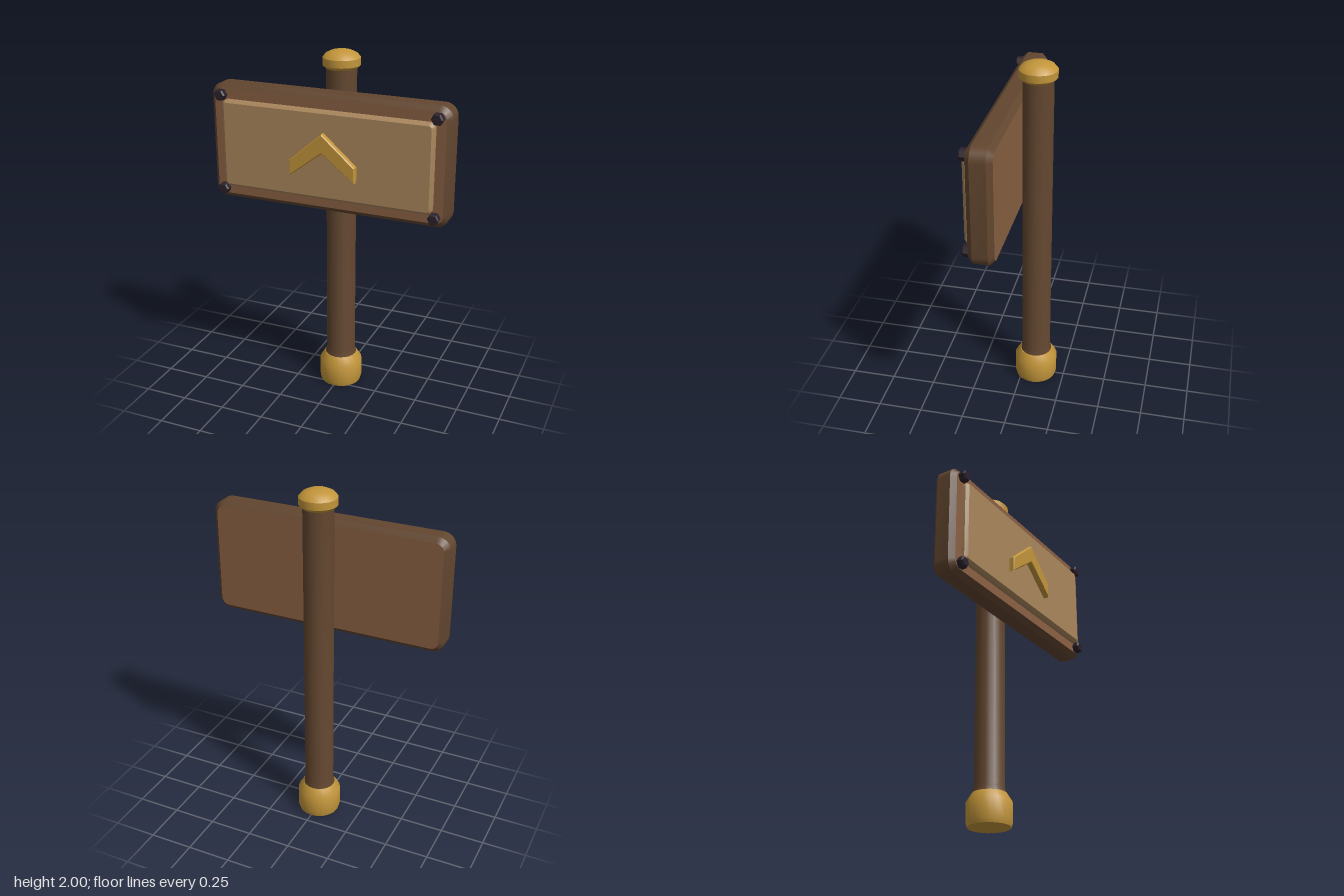
import * as THREE from 'three';
import { toCreasedNormals } from 'three/addons/utils/BufferGeometryUtils.js';

const material = (name, color) => {
  const m = new THREE.MeshStandardMaterial({ color });
  m.name = name;
  return m;
};

// Rectangle with rounded corners, centred on the origin
function roundedRect(w, h, r) {
  const x = w / 2, y = h / 2;
  const s = new THREE.Shape();
  s.absarc(x - r, y - r, r, 0, Math.PI / 2);
  s.absarc(-x + r, y - r, r, Math.PI / 2, Math.PI);
  s.absarc(-x + r, -y + r, r, Math.PI, Math.PI * 1.5);
  s.absarc(x - r, -y + r, r, Math.PI * 1.5, Math.PI * 2);
  s.closePath();
  return s;
}

// Slab with chamfered rims; the bevel lies inside the given outline and depth
function slab(shape, depth, bevel, z, offset = -bevel) {
  const g = new THREE.ExtrudeGeometry(shape, {
    depth: depth - 2 * bevel, bevelThickness: bevel, bevelSize: bevel,
    bevelOffset: offset, bevelSegments: 1, curveSegments: 4,
  });
  g.translate(0, 0, z + bevel);
  return toCreasedNormals(g, 0.5);
}

const turned = (profile) => toCreasedNormals(
  new THREE.LatheGeometry(profile.map(([x, y]) => new THREE.Vector2(x, y)), 20), 0.7);

export function createModel() {
  const darkWood = material('dark wood', 0x62462f);
  const wood = material('board wood', 0x8a6043);
  const paleWood = material('pale wood', 0xaa875c);
  const brass = material('brass', 0xc2953a);
  const iron = material('dark iron', 0x2b212b);

  const model = new THREE.Group();
  model.name = 'signpost';
  const add = (name, geometry, mat, x = 0, y = 0, z = 0) => {
    const mesh = new THREE.Mesh(geometry, mat);
    mesh.name = name;
    mesh.position.set(x, y, z);
    model.add(mesh);
  };

  // Upright post with brass foot and cap, standing behind the board
  const postZ = -0.08;
  add('post', turned([[0.096, 0.16], [0.09, 0.185], [0.083, 0.215], [0.083, 1.93]]), darkWood, 0, 0, postZ);
  add('foot', turned([[0, 0], [0.117, 0], [0.124, 0.025], [0.124, 0.135], [0.094, 0.182], [0, 0.182]]),
    brass, 0, 0, postZ);
  add('cap', turned([[0, 1.9], [0.085, 1.9], [0.103, 1.917], [0.103, 1.957],
    [0.085, 1.978], [0.055, 1.992], [0.028, 1.998], [0, 2]]), brass, 0, 0, postZ);

  // Board: lighter faces, dark rim
  const boardY = 1.48;
  add('board', slab(roundedRect(1.36, 0.65, 0.07), 0.137, 0.027, 0), [wood, darkWood], 0, boardY);
  add('panel', slab(roundedRect(1.2, 0.49, 0.03), 0.05, 0.015, 0.12), paleWood, 0, boardY);

  // Raised chevron
  const chevron = new THREE.Shape([
    [0, 1.61], [-0.187, 1.447], [-0.187, 1.36], [0, 1.502], [0.187, 1.36], [0.187, 1.447],
  ].map(([x, y]) => new THREE.Vector2(x, y)));
  add('chevron', slab(chevron, 0.045, 0.006, 0.157), brass);

  // Hexagonal bolts in the corners
  const bolt = new THREE.LatheGeometry(
    [[0, 0], [0.033, 0], [0.033, 0.038], [0.026, 0.047], [0, 0.047]]
      .map(([x, y]) => new THREE.Vector2(x, y)), 6);
  bolt.rotateY(Math.PI / 6).rotateX(Math.PI / 2);
  const boltGeometry = toCreasedNormals(bolt, 0.3);
  for (const x of [-0.61, 0.61]) {
    for (const y of [1.215, 1.747]) add('bolt', boltGeometry, iron, x, y, 0.128);
  }
  return model;
}
